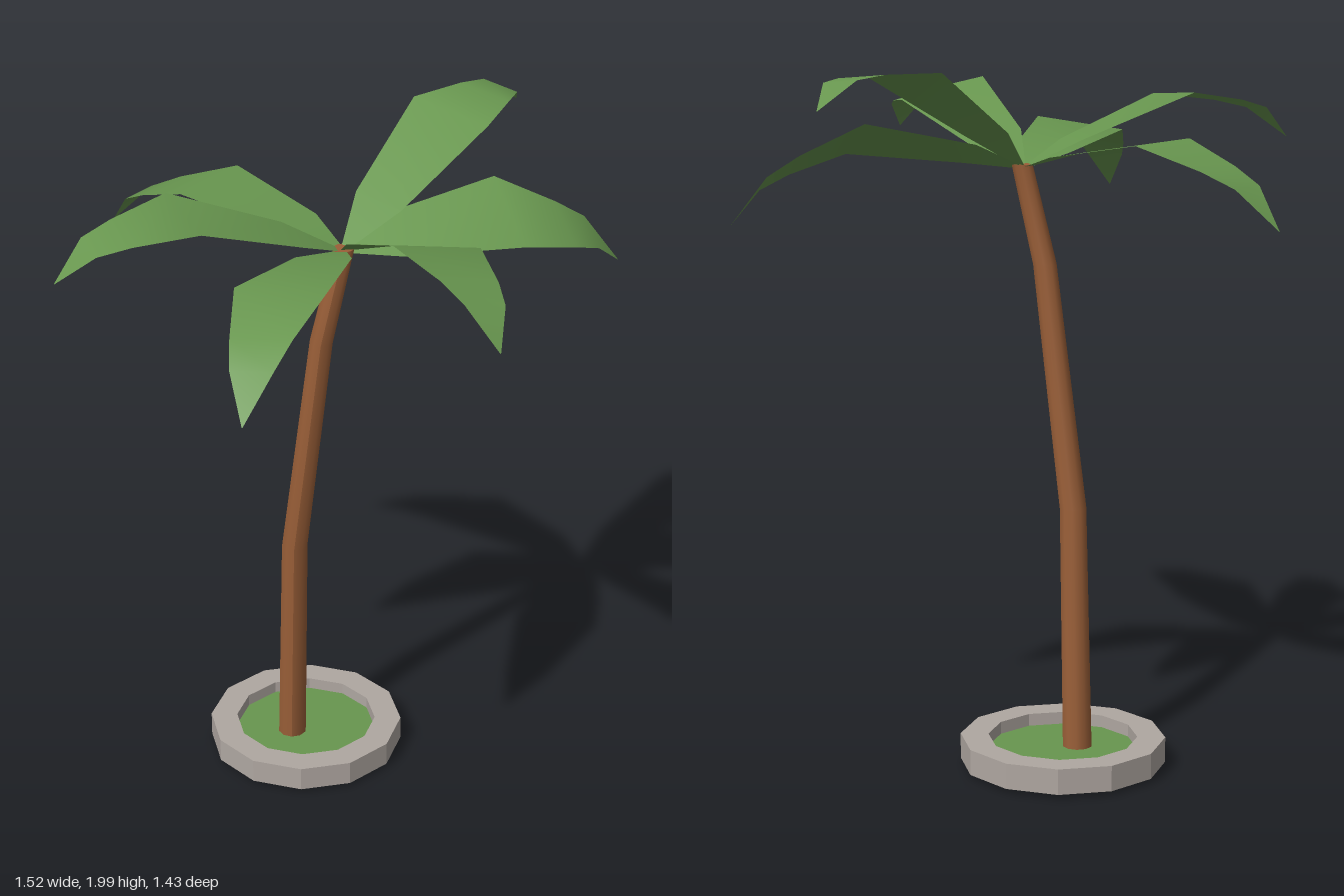
import * as THREE from 'three';

const leafGreen = new THREE.MeshStandardMaterial({ color: 0x68964f, side: THREE.DoubleSide });
leafGreen.name = 'leafGreen';
const barkBrown = new THREE.MeshStandardMaterial({ color: 0x9a5f38 });
barkBrown.name = 'barkBrown';
const stoneGrey = new THREE.MeshStandardMaterial({ color: 0xafa7a1, side: THREE.DoubleSide });
stoneGrey.name = 'stoneGrey';

const CROWN = new THREE.Vector3(-0.02, 1.7, -0.08);

// Leaning trunk: a cylinder whose rings follow [x, y, z, radius]
function trunkGeometry() {
  const rings = [
    [-0.182, 0, -0.157, 0.043],
    [-0.164, 0.74, -0.11, 0.039],
    [-0.08, 1.43, -0.063, 0.034],
    [-0.017, 1.71, -0.075, 0.03],
  ];
  const geo = new THREE.CylinderGeometry(1, 1, 1, 10, rings.length - 1);
  const pos = geo.attributes.position;
  for (let i = 0; i < pos.count; i++) {
    const [x, y, z, r] = rings[Math.round((pos.getY(i) + 0.5) * (rings.length - 1))];
    pos.setXYZ(i, x + pos.getX(i) * r, y, z + pos.getZ(i) * r);
  }
  geo.computeVertexNormals();
  return geo;
}

// Frond stations: [fraction of length, half width, height, side shift]
const STATIONS = [
  [0, 0.008, 0, 0],
  [0.18, 0.08, 0.04, 0.4],
  [0.56, 0.13, 0.085, 1],
  [0.77, 0.085, 0.02, 0.8],
  [0.88, 0.06, -0.025, 0.45],
  [1, 0.001, -0.135, 0],
];

// Arched leaf blade reaching to a tip; pitch lifts it, roll lowers one edge
function frondGeometry({ tip, pitch, roll, shift }) {
  const dir = new THREE.Vector2(tip[0] - CROWN.x, tip[1] - CROWN.z);
  const length = dir.length();
  dir.normalize();
  const positions = [];
  const index = [];
  STATIONS.forEach(([t, half, height, bend], i) => {
    const u = t * length;
    for (const side of [-1, 1]) {
      const w = side * half + shift * bend;
      positions.push(
        CROWN.x + dir.x * u - dir.y * w,
        CROWN.y + height + pitch * u - roll * side * half,
        CROWN.z + dir.y * u + dir.x * w,
      );
    }
    if (i > 0) {
      const a = 2 * i - 2;
      index.push(a, a + 1, a + 2, a + 1, a + 3, a + 2);
    }
  });
  const geo = new THREE.BufferGeometry();
  geo.setAttribute('position', new THREE.Float32BufferAttribute(positions, 3));
  geo.setIndex(index);
  geo.computeVertexNormals();
  return geo;
}

const FRONDS = [
  { tip: [0.46, -0.72], pitch: 0.43, roll: 0.1, shift: 0.025 },
  { tip: [0.755, -0.35], pitch: 0, roll: 0.41, shift: 0.064 },
  { tip: [0.4, 0.64], pitch: 0.22, roll: -0.23, shift: -0.027 },
  { tip: [-0.24, 0.71], pitch: 0, roll: 0.12, shift: 0.018 },
  { tip: [-0.76, 0.29], pitch: 0.23, roll: -0.08, shift: -0.004 },
  { tip: [-0.71, -0.53], pitch: 0.03, roll: 0, shift: 0 },
];

export function createModel() {
  const model = new THREE.Group();
  model.name = 'palmTree';
  const add = (parent, name, geo, material) => {
    const mesh = new THREE.Mesh(geo, material);
    mesh.name = name;
    parent.add(mesh);
    return mesh;
  };

  // Planter: twelve-sided stone rim, open below, with a grass disc inside
  const planter = new THREE.Group();
  planter.name = 'planter';
  planter.position.set(-0.14, 0, -0.175);
  planter.scale.z = 0.965;
  model.add(planter);
  const profile = [[0.293, 0.012], [0.293, 0.086], [0.213, 0.086], [0.213, 0.045]]
    .map(([r, y]) => new THREE.Vector2(r, y));
  const rim = new THREE.LatheGeometry(profile, 12).toNonIndexed();
  rim.computeVertexNormals();
  add(planter, 'stoneRim', rim, stoneGrey);
  const grass = new THREE.CircleGeometry(0.213, 12).rotateX(-Math.PI / 2);
  add(planter, 'grass', grass, leafGreen).position.y = 0.05;

  add(model, 'trunk', trunkGeometry(), barkBrown);

  // Crown of six fronds
  const crown = new THREE.Group();
  crown.name = 'crown';
  model.add(crown);
  FRONDS.forEach((f, i) => add(crown, `frond${i + 1}`, frondGeometry(f), leafGreen));

  return model;
}
